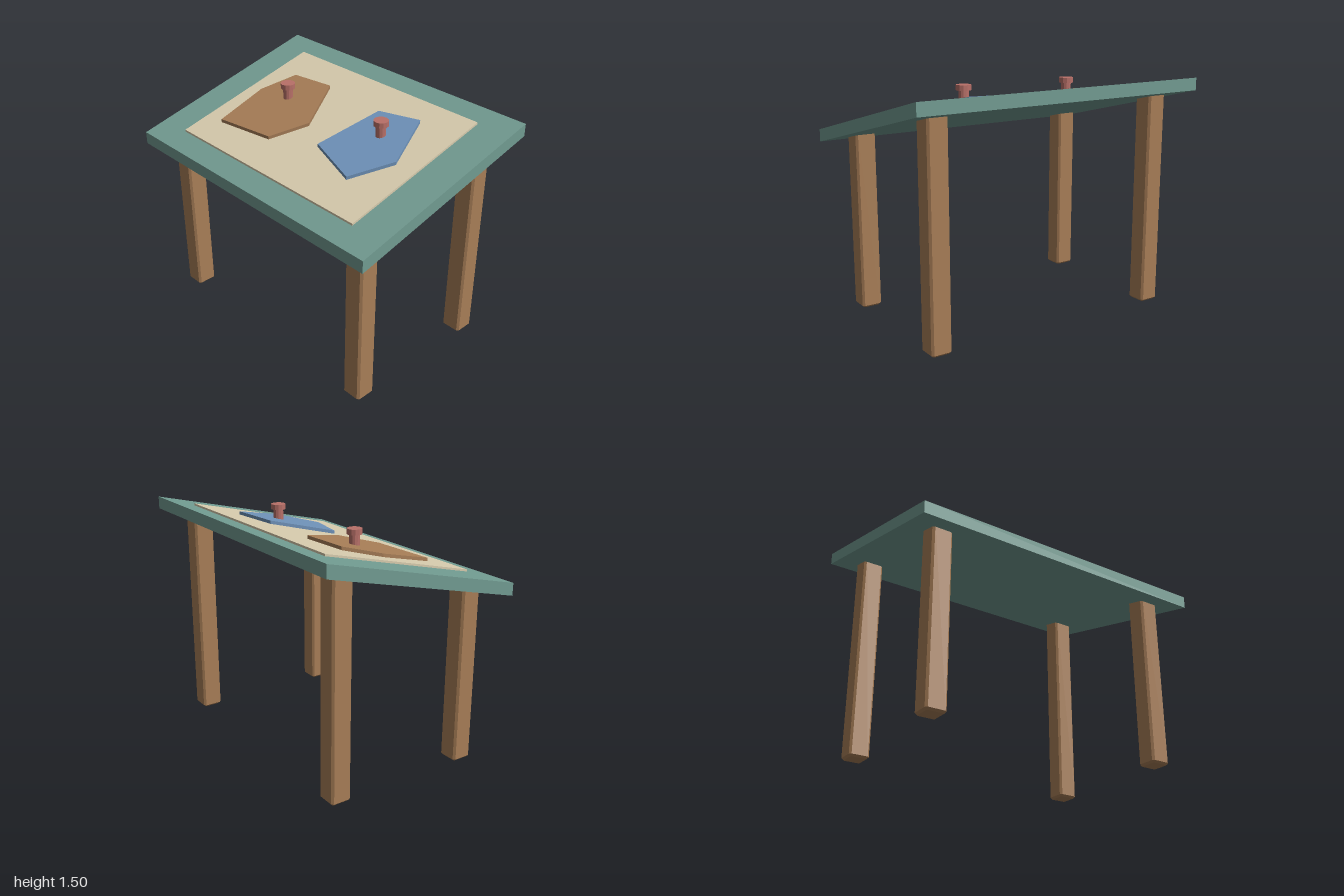
import * as THREE from 'three';

const SLOPE = 0.2475;   // rise of the top towards the back
const TOP = 1.335;      // height of the top surface at z = 0
const surfaceY = (z, lift = 0) => TOP + lift - SLOPE * z;

const paint = (color) => new THREE.MeshStandardMaterial({ color, flatShading: true });
const teal = paint(0x729c92);
const paper = paint(0xd8ccae);
const wood = paint(0xa87e57);
const blue = paint(0x6f93ba);
const copper = paint(0xb87068);

function addMesh(parent, name, geometry, material) {
  const mesh = new THREE.Mesh(geometry, material);
  mesh.name = name;
  parent.add(mesh);
  return mesh;
}

// Extrude a plan outline given as [x, z] pairs upwards along y
function extrudePlan(points, height, bevel = 0) {
  const shape = new THREE.Shape(points.map(([x, z]) => new THREE.Vector2(x, -z)));
  return new THREE.ExtrudeGeometry(shape, {
    depth: height - 2 * bevel,
    bevelEnabled: bevel > 0,
    bevelThickness: bevel,
    bevelSize: bevel,
    bevelOffset: -bevel,
    bevelSegments: 1,
  }).rotateX(-Math.PI / 2).translate(0, bevel, 0);
}

// Sheet lying on the sloping surface, with upright edges
function slopedSheet(points, bottom, thickness) {
  const geometry = extrudePlan(points, thickness);
  const pos = geometry.attributes.position;
  for (let i = 0; i < pos.count; i++) {
    pos.setY(i, pos.getY(i) + surfaceY(pos.getZ(i), bottom));
  }
  geometry.computeVertexNormals();
  return geometry;
}

const rectangle = (x, z0, z1) => [[-x, z0], [x, z0], [x, z1], [-x, z1]];

// Chamfered square leg whose upper end is cut to the slope of the top
function legGeometry(x, z) {
  const h = 0.0665, c = h - 0.013;
  const outline = [[h, c], [c, h], [-c, h], [-h, c], [-h, -c], [-c, -h], [c, -h], [h, -c]]
    .map(([px, pz]) => [px + x, pz + z]);
  const geometry = extrudePlan(outline, TOP - 0.04, 0.013);
  const pos = geometry.attributes.position;
  for (let i = 0; i < pos.count; i++) {
    if (pos.getY(i) > 0.5) pos.setY(i, pos.getY(i) - SLOPE * pos.getZ(i));
  }
  geometry.computeVertexNormals();
  return geometry;
}

// Upright knob: stem and wider head
function addKnob(parent, name, x, z) {
  const knob = new THREE.Group();
  knob.name = name;
  knob.position.set(x, surfaceY(z, 0.034), z);
  addMesh(knob, 'knobStem', new THREE.CylinderGeometry(0.032, 0.032, 0.09, 12).translate(0, 0.025, 0), copper);
  addMesh(knob, 'knobHead', new THREE.CylinderGeometry(0.047, 0.047, 0.034, 12).translate(0, 0.081, 0), copper);
  parent.add(knob);
}

export function createModel() {
  const table = new THREE.Group();
  table.name = 'slopedTable';

  // Top and the sheet laid on it
  addMesh(table, 'tableTop', slopedSheet(rectangle(1, -0.667, 0.667), -0.08, 0.08), teal);
  addMesh(table, 'paperSheet', slopedSheet(rectangle(0.767, -0.518, 0.514), 0, 0.013), paper);

  // Cut-out pieces
  const brownOutline = [[-0.57, -0.27], [-0.27, -0.302], [-0.088, 0.05],
    [-0.206, 0.28], [-0.618, 0.329], [-0.653, -0.035]];
  const blueOutline = [[0.2, -0.27], [0.483, -0.334], [0.628, 0.03], [0.48, 0.28], [0.115, 0.163]];
  addMesh(table, 'brownPiece', slopedSheet(brownOutline, 0.012, 0.022), wood);
  addMesh(table, 'bluePiece', slopedSheet(blueOutline, 0.012, 0.022), blue);

  // Knobs pinning the pieces
  addKnob(table, 'brownPieceKnob', -0.42, -0.07);
  addKnob(table, 'bluePieceKnob', 0.38, -0.102);

  // Four legs
  for (const [endName, z] of [['front', 0.467], ['back', -0.467]]) {
    for (const [sideName, x] of [['Left', 0.8], ['Right', -0.8]]) {
      addMesh(table, `${endName}${sideName}Leg`, legGeometry(x, z), wood);
    }
  }
  return table;
}
